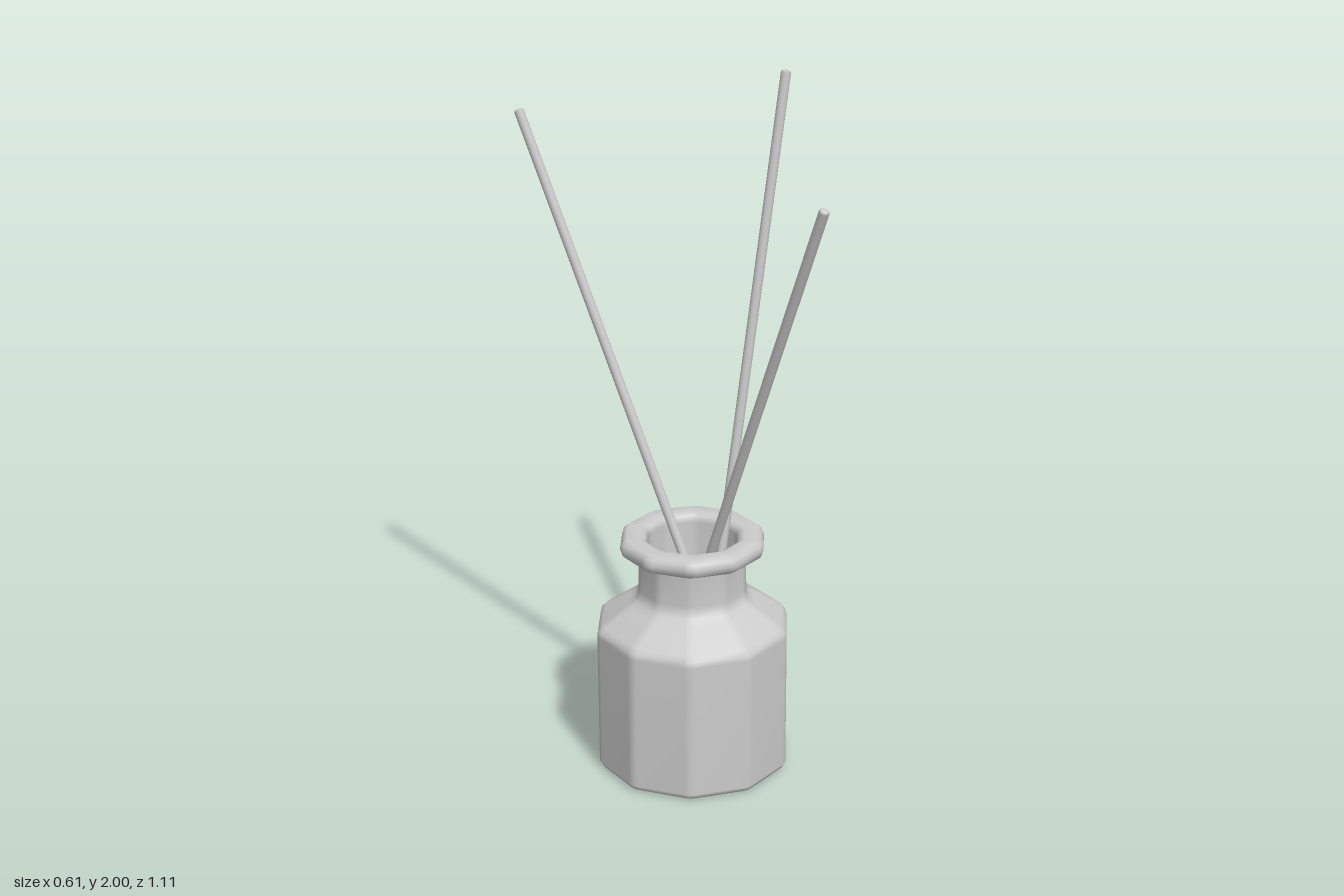
import * as THREE from 'three';

const SIDES = 10;
const CENTRE = new THREE.Vector3(-0.023, 0, -0.107);
const material = new THREE.MeshStandardMaterial({ color: 0xcccccc });

// Decagon outline of corner radius r with softened corners
function outline(r) {
  const cut = Math.min(0.016, r * 0.2);
  const corner = (k) => {
    const a = (k * Math.PI * 2) / SIDES;
    return new THREE.Vector2(Math.sin(a) * r, Math.cos(a) * r);
  };
  const points = [];
  for (let k = 0; k < SIDES; k++) {
    const c = corner(k);
    const toward = (n) => corner(n).sub(c).setLength(cut).add(c);
    const bend = new THREE.QuadraticBezierCurve(toward(k - 1), c, toward(k + 1));
    points.push(...bend.getPoints(3));
  }
  return points;
}

// Skin the decagon outline along a profile of [radius, height]
function facetedVessel(profile) {
  const positions = [];
  const index = [];
  const n = SIDES * 4;
  profile.forEach(([r, y], i) => {
    for (const p of outline(r)) positions.push(p.x, y, p.y);
    if (i === 0) return;
    for (let j = 0; j < n; j++) {
      const a = (i - 1) * n + j;
      const b = (i - 1) * n + ((j + 1) % n);
      index.push(a, b, b + n, a, b + n, a + n);
    }
  });
  const geometry = new THREE.BufferGeometry();
  geometry.setAttribute('position', new THREE.Float32BufferAttribute(positions, 3));
  geometry.setIndex(index);
  geometry.computeVertexNormals();
  return geometry;
}

// Thin stick with slightly rounded ends
function makeReed(from, to) {
  const start = new THREE.Vector3(...from);
  const dir = new THREE.Vector3(...to).sub(start);
  const len = dir.length();
  const r = 0.014;
  const profile = [[0, 0], [r * 0.7, 0], [r, 0.005], [r, len - 0.005], [r * 0.7, len], [0, len]];
  const geometry = new THREE.LatheGeometry(profile.map(([x, y]) => new THREE.Vector2(x, y)), 14);
  const reed = new THREE.Mesh(geometry, material);
  reed.position.copy(start);
  reed.quaternion.setFromUnitVectors(new THREE.Vector3(0, 1, 0), dir.normalize());
  return reed;
}

export function createModel() {
  const model = new THREE.Group();
  model.name = 'reedDiffuser';

  // Bottle: base, body, shoulder, neck, rolled lip, then the inside wall
  const bottle = new THREE.Mesh(facetedVessel([
    [0.001, 0], [0.262, 0], [0.276, 0.005], [0.284, 0.02],
    [0.284, 0.42], [0.281, 0.436], [0.268, 0.45],
    [0.19, 0.503], [0.172, 0.517], [0.163, 0.532], [0.16, 0.55],
    [0.16, 0.645], [0.168, 0.654], [0.195, 0.656], [0.207, 0.664], [0.213, 0.682],
    [0.208, 0.699], [0.195, 0.709], [0.155, 0.709], [0.14, 0.702], [0.132, 0.685],
    [0.132, 0.06], [0.001, 0.06],
  ]), material);
  bottle.name = 'bottle';
  bottle.position.copy(CENTRE);
  model.add(bottle);

  // Liquid surface inside the bottle
  const liquid = new THREE.Mesh(new THREE.CircleGeometry(0.132, 40), material);
  liquid.name = 'liquid';
  liquid.rotation.x = -Math.PI / 2;
  liquid.position.set(CENTRE.x, 0.3, CENTRE.z);
  model.add(liquid);

  // Three reeds leaning out of the neck
  const reeds = [
    ['leftReed', [0.025, 0.285, -0.107], [0.291, 1.998, -0.107]],
    ['backReed', [0.039, 0.285, -0.026], [-0.294, 1.884, -0.545]],
    ['frontReed', [-0.029, 0.3, -0.178], [-0.068, 1.822, 0.545]],
  ];
  for (const [name, from, to] of reeds) {
    const reed = makeReed(from, to);
    reed.name = name;
    model.add(reed);
  }
  return model;
}
